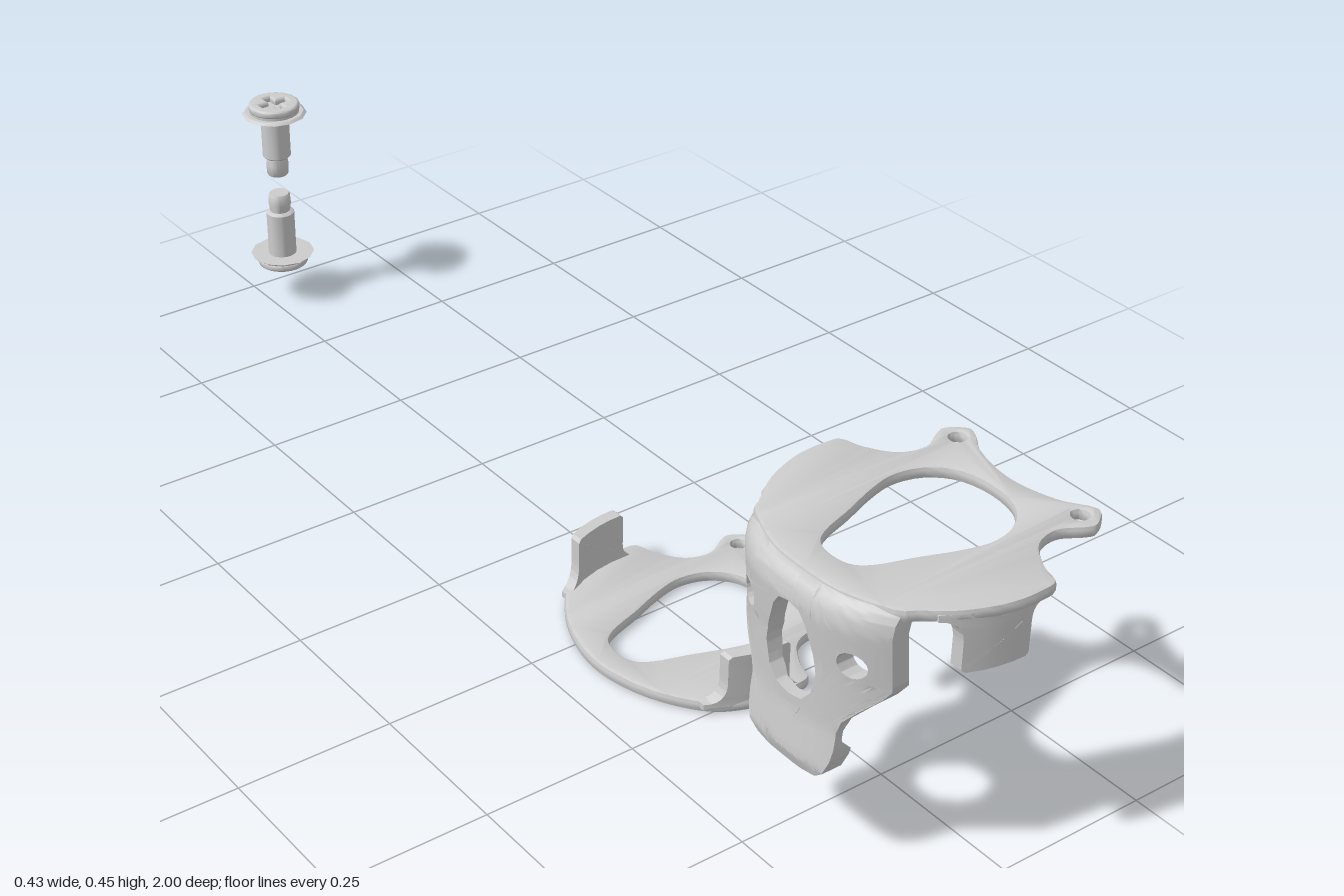
import * as THREE from 'three';
import { toCreasedNormals } from 'three/addons/utils/BufferGeometryUtils.js';

const material = new THREE.MeshStandardMaterial({ color: 0xcccccc });
const V = (p) => new THREE.Vector2(p[0], p[1]);

function part(name, geometry, crease = 0.6) {
  const g = geometry.index ? geometry.toNonIndexed() : geometry;
  const mesh = new THREE.Mesh(toCreasedNormals(g, crease), material);
  mesh.name = name;
  return mesh;
}

// Splits every triangle into four, so that flat sheets can be bent smoothly
function subdivide(geometry, levels) {
  let tris = geometry.attributes.position.array;
  for (let n = 0; n < levels; n++) {
    const out = [];
    for (let i = 0; i < tris.length; i += 9) {
      const [a, b, c] = [0, 3, 6].map((k) => [tris[i + k], tris[i + k + 1], tris[i + k + 2]]);
      const mid = (p, q) => p.map((v, k) => (v + q[k]) / 2);
      const ab = mid(a, b), bc = mid(b, c), ca = mid(c, a);
      out.push(...a, ...ab, ...ca, ...ab, ...b, ...bc, ...ca, ...bc, ...c, ...ab, ...bc, ...ca);
    }
    tris = out;
  }
  return new THREE.BufferGeometry().setAttribute('position', new THREE.Float32BufferAttribute(tris, 3));
}

// Smooth closed outline mirrored about the x axis; first and last points lie on it
function mirroredOutline(half, samples) {
  const back = half.slice(1, -1).reverse().map(([x, y]) => [x, -y]);
  const pts = [...half, ...back].map(([x, y]) => new THREE.Vector3(x, y, 0));
  const curve = new THREE.CatmullRomCurve3(pts, true, 'centripetal');
  return curve.getPoints(samples).slice(0, -1).map((p) => new THREE.Vector2(p.x, p.y));
}

function circlePath(x, y, r) {
  return new THREE.Path().absarc(x, y, r, 0, Math.PI * 2);
}

const egg = [[-0.145, 0], [-0.138, 0.03], [-0.118, 0.046], [-0.06, 0.066], [0, 0.088], [0.045, 0.097],
  [0.09, 0.086], [0.122, 0.055], [0.134, 0]];
// Half of the outline shared by both plates: lobe, scallop, ear
const ears = [[-0.03, 0.214], [0.02, 0.217], [0.047, 0.212], [0.06, 0.178], [0.09, 0.138],
  [0.13, 0.128], [0.165, 0.146], [0.181, 0.15], [0.211, 0.127], [0.209, 0.114], [0.184, 0.075], [0.168, 0]];

// Flat plate, underside at y = 0; outline and holes wind opposite ways
function plate(name, rear) {
  const shape = new THREE.Shape(mirroredOutline([...rear, ...ears], 170).reverse());
  shape.holes.push(new THREE.Path(mirroredOutline(egg, 56)));
  for (const s of [1, -1]) shape.holes.push(circlePath(0.18, 0.119 * s, 0.012));
  const b = 0.006;
  const g = new THREE.ExtrudeGeometry(shape, {
    depth: 0.02 - 2 * b, bevelThickness: b, bevelSize: b, bevelOffset: -b, bevelSegments: 2, curveSegments: 10,
  });
  g.rotateX(Math.PI / 2).translate(0, 0.02 - b, 0);
  return part(name, g);
}

// Upright side tab with flared foot, curved to follow the plate rim
function tab(side) {
  const s = new THREE.Shape();
  s.moveTo(-0.12, 0.008);
  s.lineTo(0.035, 0.008);
  s.lineTo(0.035, 0.018);
  s.quadraticCurveTo(0.008, 0.018, 0.008, 0.045);
  s.lineTo(0.008, 0.095);
  s.lineTo(0.003, 0.1);
  s.lineTo(-0.085, 0.1);
  s.lineTo(-0.09, 0.095);
  s.lineTo(-0.09, 0.05);
  s.quadraticCurveTo(-0.092, 0.018, -0.12, 0.018);
  const flat = new THREE.ExtrudeGeometry(s, { depth: 0.02, bevelEnabled: false, curveSegments: 6 });
  const g = subdivide(flat, 2);
  const p = g.attributes.position;
  for (let i = 0; i < p.count; i++) {
    const x = Math.min(p.getX(i), 0);
    p.setZ(i, p.getZ(i) - 0.01 + side * (Math.sqrt(0.213 ** 2 - x * x) - 0.01));
  }
  return part('sideTab', g);
}

// Linear lookup of a profile [[y, value], ...] ordered by rising y
function lookup(table, y) {
  for (let i = 1; i < table.length; i++) {
    const [y0, a] = table[i - 1], [y1, b] = table[i];
    if (y <= y1) return a + (b - a) * Math.max(0, (y - y0) / (y1 - y0));
  }
  return table[table.length - 1][1];
}

// One half of the curved hanging flap, with half the large opening and a pin hole
function flapHalf(side) {
  const outline = [[0, 0.447], [0.04, 0.447], [0.08, 0.447], [0.115, 0.447], [0.142, 0.447],
    [0.147, 0.44], [0.147, 0.42], [0.147, 0.4], [0.147, 0.365], [0.147, 0.325], [0.138, 0.31], [0.115, 0.285],
    [0.092, 0.258], [0.086, 0.237], [0.086, 0.21], [0.083, 0.19], [0.075, 0.168], [0.06, 0.155],
    [0.03, 0.15], [0, 0.15], [0, 0.17], [0, 0.2], [0, 0.21], [0, 0.237], [0, 0.255],
    [0.025, 0.26], [0.042, 0.28], [0.05, 0.315], [0.045, 0.345], [0.032, 0.385], [0.02, 0.402], [0, 0.407]];
  const shape = new THREE.Shape(outline.map(([u, y]) => V([side * u, y])));
  shape.holes.push(circlePath(side * 0.103, 0.355, 0.02));
  const g = subdivide(new THREE.ExtrudeGeometry(shape, { depth: 1, bevelEnabled: false, curveSegments: 8 }), 3);
  const outer = [[0.15, -0.209], [0.17, -0.216], [0.237, -0.208], [0.33, -0.21], [0.41, -0.217],
    [0.43, -0.213], [0.44, -0.206], [0.447, -0.196]];
  const thick = [[0.15, 0.022], [0.17, 0.034], [0.2, 0.034], [0.22, 0.012], [0.237, 0.012], [0.27, 0.022],
    [0.33, 0.028], [0.447, 0.028]];
  const p = g.attributes.position;
  for (let i = 0; i < p.count; i++) {
    const u = p.getX(i), y = p.getY(i), w = p.getZ(i);
    const bend = 15 * Math.abs(u) ** 3;
    p.setXYZ(i, lookup(outer, y) + bend + w * lookup(thick, y), y, -u);
  }
  return part('flapHalf', g, 0.7);
}

// Shoulder screw, tip at y = 0 and head on top
function screw(name) {
  const group = new THREE.Group();
  group.name = name;
  const profile = [[0, 0], [0.017, 0], [0.019, 0.003], [0.02, 0.02], [0.018, 0.034], [0.022, 0.035],
    [0.025, 0.038], [0.025, 0.122], [0.044, 0.122], [0.044, 0.129], [0, 0.129]];
  group.add(part('shaft', new THREE.LatheGeometry(profile.map(V), 24)));
  const washer = new THREE.CylinderGeometry(0.052, 0.057, 0.004, 12);
  group.add(part('washer', washer.translate(0, 0.121, 0)));

  // Head with a cross-shaped socket
  const head = new THREE.Shape().absarc(0, 0, 0.045, 0, Math.PI * 2);
  const a = 0.007, l = 0.026;
  const cross = [];
  for (let k = 0; k < 4; k++) {
    for (const q of [[l, -a], [l, a], [a, a]]) cross.push(V(q).rotateAround(new THREE.Vector2(), k * Math.PI / 2));
  }
  head.holes.push(new THREE.Path(cross));
  const g = new THREE.ExtrudeGeometry(head, {
    depth: 0.006, bevelThickness: 0.004, bevelSize: 0.005, bevelOffset: -0.005, bevelSegments: 3, curveSegments: 14,
  });
  group.add(part('head', g.rotateX(-Math.PI / 2).translate(0, 0.13, 0)));
  return group;
}

export function createModel() {
  const model = new THREE.Group();

  // Lower bracket: plate with two upright tabs
  const lower = new THREE.Group();
  lower.name = 'lowerBracket';
  lower.add(plate('lowerPlate', [[-0.185, 0], [-0.175, 0.065], [-0.147, 0.13], [-0.1, 0.186]]));
  for (const s of [1, -1]) lower.add(tab(s));
  lower.position.z = 0.322;
  model.add(lower);

  // Upper bracket: plate with hanging tabs and a hanging flap
  const upper = new THREE.Group();
  upper.name = 'upperBracket';
  const top = plate('upperPlate', [[-0.197, 0], [-0.192, 0.065], [-0.172, 0.12], [-0.157, 0.147], [-0.14, 0.158], [-0.095, 0.19]]);
  top.position.y = 0.431;
  upper.add(top);
  for (const s of [1, -1]) {
    const t = tab(s);
    t.geometry.rotateX(Math.PI);
    t.position.y = 0.452;
    upper.add(t, flapHalf(s));
  }
  upper.position.z = 0.782;
  model.add(upper);

  // Pair of screws, tip to tip
  const upperScrew = screw('upperScrew');
  upperScrew.position.set(0.033, 0.245, -0.943);
  const lowerScrew = screw('lowerScrew');
  lowerScrew.rotation.x = Math.PI;
  lowerScrew.position.set(0.033, 0.207, -0.943);
  model.add(upperScrew, lowerScrew);
  return model;
}
